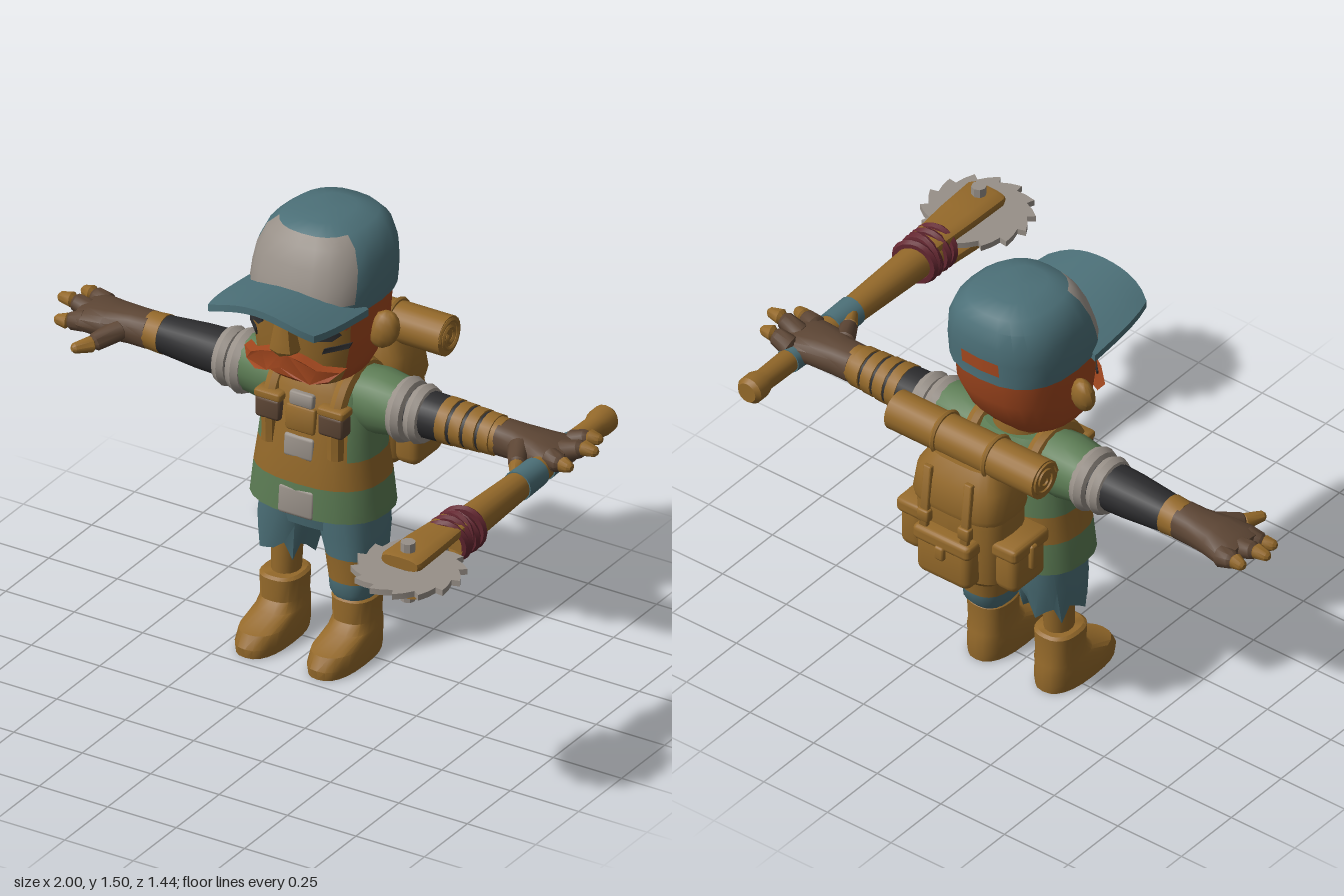
import * as THREE from 'three';
import { toCreasedNormals } from 'three/addons/utils/BufferGeometryUtils.js';
import { RoundedBoxGeometry } from 'three/addons/geometries/RoundedBoxGeometry.js';

const mat = (name, color) => Object.assign(new THREE.MeshStandardMaterial({ color }), { name });
const M = {
  tan: mat('tan leather', 0x94692a), teal: mat('teal cloth', 0x4c7078), grey: mat('light grey', 0x989088),
  green: mat('green vest', 0x5c7c54), orange: mat('ginger hair', 0xa4481f), brown: mat('brown glove', 0x5c4534),
  black: mat('black sleeve', 0x2c2c2e), maroon: mat('maroon cord', 0x642731),
};

function add(parent, name, geo, material, pos = [0, 0, 0], rot = [0, 0, 0]) {
  const m = new THREE.Mesh(toCreasedNormals(geo, 0.65), material);
  m.name = name;
  m.position.set(...pos);
  m.rotation.set(...rot);
  parent.add(m);
  return m;
}

// Stacked superellipse rings [y, rx, rz, cz, cx]; paint(row, degrees) picks a material index.
function loft(rings, { n = 24, p = 0.8, paint = () => 0, jag = 0 } = {}) {
  const pos = [], lists = [];
  const bend = v => Math.sign(v) * Math.abs(v) ** p;
  rings.forEach(([y, rx, rz, cz = 0, cx = 0], r) => {
    for (let i = 0; i < n; i++) {
      const a = i / n * Math.PI * 2;
      pos.push(cx + rx * bend(Math.sin(a)), y + (r === 0 ? jag * Math.sin(i * 2.3) : 0), cz + rz * bend(Math.cos(a)));
    }
  });
  const ends = [rings[0], rings[rings.length - 1]];
  ends.forEach(([y, , , cz = 0, cx = 0]) => pos.push(cx, y, cz));
  const last = rings.length - 1, c0 = rings.length * n;
  for (let i = 0; i < n; i++) {
    const j = (i + 1) % n, deg = Math.abs(((i + 0.5) / n * 360 + 180) % 360 - 180);
    const put = (r, ...idx) => (lists[paint(r, deg)] ??= []).push(...idx);
    put(0, c0, j, i);
    for (let r = 0; r < last; r++) {
      const b = r * n, t = b + n;
      put(r, b + i, b + j, t + j, b + i, t + j, t + i);
    }
    put(last - 1, c0 + 1, last * n + i, last * n + j);
  }
  const g = new THREE.BufferGeometry();
  g.setAttribute('position', new THREE.Float32BufferAttribute(pos, 3));
  g.setIndex(lists.flat());
  let start = 0;
  lists.forEach((l, k) => { g.addGroup(start, l.length, k); start += l.length; });
  return g;
}

// Tapered rod between two points
function rod(parent, name, a, b, r0, r1, material) {
  const A = new THREE.Vector3(...a), d = new THREE.Vector3(...b).sub(A), len = d.length();
  const g = loft([[-r0 * 0.4, r0 * 0.6, r0 * 0.6], [0, r0, r0], [len - r1 * 0.5, r1, r1], [len, r1 * 0.5, r1 * 0.5]], { n: 10, p: 1 });
  const m = add(parent, name, g, material, a);
  m.quaternion.setFromUnitVectors(new THREE.Vector3(0, 1, 0), d.normalize());
}

const box = (w, h, d, r = 0.012) => new RoundedBoxGeometry(w, h, d, 2, r);
const faceZ = x => -0.27 + 0.205 * Math.max(0, 1 - (Math.abs(x) / 0.205) ** 2.5) ** 0.4;

// Flat outline wrapped on to the face
function facePart(parent, name, pts, s, depth, material) {
  const shape = new THREE.Shape(pts.map(([x, y]) => new THREE.Vector2(x * s, y)));
  const g = new THREE.ExtrudeGeometry(shape, { depth, bevelEnabled: false });
  const q = g.attributes.position;
  for (let i = 0; i < q.count; i++) q.setZ(i, q.getZ(i) + faceZ(q.getX(i)));
  add(parent, name, g, material);
}

function buildHead(g) {
  add(g, 'neck', loft([[0.9, 0.1, 0.1, -0.29], [1.03, 0.085, 0.09, -0.29]], { p: 1 }), M.tan);
  add(g, 'head', loft([[0.985, 0.13, 0.13, -0.24], [1.01, 0.165, 0.155, -0.235], [1.05, 0.182, 0.175, -0.25],
    [1.15, 0.2, 0.205, -0.27], [1.28, 0.205, 0.215, -0.275]],
  { paint: (r, d) => d > 60 || (r < 2 && d < 45) ? 1 : 0 }), [M.tan, M.orange]);
  add(g, 'nose', loft([[1.1, 0.03, 0.03, -0.06], [1.125, 0.05, 0.05, -0.063], [1.155, 0.044, 0.044, -0.06],
    [1.25, 0.026, 0.026, -0.055]], { n: 8 }), M.tan);
  for (const s of [1, -1]) {
    facePart(g, 'moustache', [[0, 1.115], [0.03, 1.118], [0.07, 1.108], [0.12, 1.08], [0.175, 1.065], [0.15, 1.04],
      [0.1, 1.03], [0.05, 1.045], [0, 1.07]], s, 0.04, M.orange);
    facePart(g, 'eyebrow', [[0.035, 1.215], [0.04, 1.24], [0.11, 1.242], [0.175, 1.225], [0.18, 1.205], [0.11, 1.22]], s, 0.022, M.orange);
    facePart(g, 'eye', [[0.09, 1.185], [0.11, 1.168], [0.145, 1.168], [0.165, 1.185], [0.15, 1.208], [0.105, 1.208]], s, 0.009, M.black);
    facePart(g, 'cheekStripe', [[0.12, 1.125], [0.18, 1.135], [0.185, 1.152], [0.125, 1.143]], s, 0.009, M.black);
    const ear = new THREE.SphereGeometry(1, 12, 8).scale(0.05, 0.064, 0.034);
    add(g, 'ear', ear, M.tan, [s * 0.225, 1.155, -0.275], [-0.15, s * 0.3, -s * 0.25]);
  }
  // Cap with pale front panel, rear opening and arched brim
  const cap = [[1.25, 0.211, 0.224, -0.283], [1.285, 0.215, 0.222, -0.285], [1.335, 0.214, 0.217, -0.295],
    [1.39, 0.207, 0.206, -0.305], [1.45, 0.18, 0.186, -0.315], [1.482, 0.14, 0.16, -0.315], [1.5, 0.075, 0.1, -0.31]];
  add(g, 'cap', loft(cap, { paint: (r, d) => d < 60 && r > 0 && r < 5 ? 1 : d > 164 && r === 1 ? 2 : 0 }), [M.teal, M.grey, M.orange]);
  const brim = new THREE.BoxGeometry(0.43, 0.024, 0.32, 12, 1, 6), q = brim.attributes.position;
  for (let i = 0; i < q.count; i++) {
    const u = q.getX(i) / 0.215, t = q.getZ(i) / 0.32 + 0.5;
    q.setXYZ(i, q.getX(i) * (1 - 0.1 * t ** 4), q.getY(i) + 1.3 + 0.03 * t - 0.055 * u * u, q.getZ(i) - 0.04 - 0.035 * u ** 4 * t);
  }
  add(g, 'capBrim', brim, M.teal);
}

function buildTorso(g) {
  add(g, 'vest', loft([[0.505, 0.235, 0.168, -0.28], [0.615, 0.222, 0.162, -0.28], [0.71, 0.208, 0.152, -0.28],
    [0.8, 0.2, 0.142, -0.285], [0.92, 0.178, 0.125, -0.288], [0.97, 0.12, 0.1, -0.29]],
  { paint: (r, d) => r === 1 || (r > 1 && d < 45) ? 1 : 0 }), [M.green, M.tan]);
  [[0.55, 0.1, 0.13, M.grey], [0.735, 0.08, 0.11, M.grey], [0.83, 0.09, 0.11, M.tan], [0.895, 0.05, 0.09, M.grey]]
    .forEach(([y, h, w, m]) => add(g, 'chestStrap', box(w, h, 0.03), m, [0, y, -0.128 - (y - 0.55) * 0.09], [-0.08, 0, 0]));
  for (const s of [1, -1]) {
    add(g, 'chestPouch', box(0.09, 0.075, 0.06), M.brown, [s * 0.115, 0.84, -0.16]);
    add(g, 'pouchFlap', box(0.1, 0.03, 0.066), M.tan, [s * 0.115, 0.885, -0.162]);
    const path = new THREE.CatmullRomCurve3([[0.12, 0.72, -0.16], [0.12, 0.88, -0.17], [0.12, 0.965, -0.24], [0.12, 0.965, -0.35], [0.12, 0.88, -0.43]]
      .map(([x, y, z]) => new THREE.Vector3(x * s, y, z)));
    add(g, 'shoulderStrap', new THREE.TubeGeometry(path, 20, 0.028, 8), M.tan);
  }
}

function buildArm(g, s) {
  const left = s > 0, Y = 0.882, Z = -0.305, rot = [0, 0, -s * Math.PI / 2];
  const along = (name, rings, m, opt) => add(g, name, loft(rings, { n: 16, p: 1, ...opt }), m, [0, Y, Z], rot);
  const ring = (name, x, R, r, m, tilt = 0) =>
    add(g, name, new THREE.TorusGeometry(R, r, 8, 20), m, [s * x, Y - 0.005, Z], [0, Math.PI / 2 + tilt, 0]);
  along('shoulder', [[0.1, 0.1, 0.1], [0.2, 0.108, 0.105], [0.28, 0.095, 0.095]], M.green);
  ring('sleeveRing', 0.293, 0.075, 0.033, M.grey);
  ring('sleeveRing', 0.35, 0.068, 0.03, M.grey);
  along('sleeve', [[0.26, 0.08, 0.085], [0.45, 0.073, 0.077], [0.61, 0.06, 0.062]], M.black);
  if (left) [0.455, 0.505, 0.555, 0.605].forEach((x, i) => along('armBand',
    [[x - 0.019, 0.076 - i * 0.003, 0.08 - i * 0.003], [x + 0.019, 0.075 - i * 0.003, 0.079 - i * 0.003]], M.tan).rotateX(0));
  along('wristCuff', [[0.59, 0.065, 0.065], [0.65, 0.06, 0.062]], M.tan);
  // Glove with bare fingertips
  const lift = left ? 0.025 : 0;
  along('glove', [[0.64, 0.058, 0.062], [0.7, 0.055, 0.066, 0], [0.78, 0.05, 0.085, 0.005], [0.85, 0.042, 0.1, 0], [0.885, 0.028, 0.09, 0]], M.brown, { p: 0.85 });
  const fingers = [[0.85, -0.07, 0.95, -0.085, 0.015], [0.86, -0.003, 0.985, -0.003, 0.02], [0.85, 0.06, 0.945, 0.085, -0.01], [0.73, 0.05, 0.81, 0.2, -0.025]];
  for (const [x0, z0, x1, z1, dy] of fingers) {
    const mid = [s * (x0 * 0.4 + x1 * 0.6), Y + lift + dy, Z + z0 * 0.4 + z1 * 0.6];
    rod(g, 'fingerSleeve', [s * x0, Y + lift * 0.5, Z + z0], mid, 0.036, 0.029, M.brown);
    rod(g, 'fingertip', mid, [s * x1, Y + lift + dy * 0.9, Z + z1], 0.026, 0.017, M.tan);
  }
}

function buildLegs(g) {
  add(g, 'hips', loft([[0.41, 0.03, 0.07, -0.29], [0.44, 0.18, 0.12, -0.29], [0.55, 0.2, 0.14, -0.285]]), M.teal);
  add(g, 'raggedTrouserLeg', loft([[0.325, 0.092, 0.1, -0.28, -0.12], [0.42, 0.1, 0.122, -0.288, -0.112], [0.52, 0.1, 0.13, -0.29, -0.1]],
    { n: 20, jag: 0.035 }), M.teal);
  add(g, 'bareShin', loft([[0.16, 0.045, 0.05, -0.27, -0.13], [0.38, 0.05, 0.06, -0.28, -0.13]], { p: 1, n: 14 }), M.tan);
  add(g, 'longTrouserLeg', loft([[0.2, 0.06, 0.075, -0.27, 0.13], [0.23, 0.078, 0.095, -0.275, 0.13], [0.27, 0.08, 0.1, -0.278, 0.128],
    [0.355, 0.088, 0.108, -0.282, 0.122], [0.43, 0.098, 0.122, -0.288, 0.112], [0.52, 0.1, 0.13, -0.29, 0.1]],
  { n: 20, paint: r => r === 2 ? 1 : 0 }), [M.teal, M.tan]);
  for (const s of [1, -1]) add(g, 'boot', loft([[0, 0.075, 0.162, -0.195], [0.03, 0.08, 0.165, -0.195], [0.07, 0.079, 0.152, -0.207],
    [0.1, 0.073, 0.1, -0.255], [0.13, 0.068, 0.083, -0.267], [0.205, 0.072, 0.084, -0.268], [0.213, 0.062, 0.074, -0.268]]), M.tan, [s * 0.132, 0, 0]);
}

function buildPack(g) {
  add(g, 'packBody', loft([[0.55, 0.13, 0.085, -0.54], [0.58, 0.16, 0.105, -0.545], [0.8, 0.168, 0.112, -0.55], [0.94, 0.15, 0.1, -0.545],
    [0.98, 0.12, 0.08, -0.54]], { p: 0.6 }), M.tan);
  add(g, 'packFlap', loft([[0.82, 0.172, 0.118, -0.552], [0.84, 0.176, 0.123, -0.553], [0.93, 0.165, 0.115, -0.548], [0.99, 0.13, 0.085, -0.54]],
    { p: 0.6 }), M.tan);
  const pocket = (w, d, x, z) => {
    add(g, 'packPocket', box(w, 0.165, d, 0.03), M.tan, [x, 0.655, z]);
    add(g, 'pocketFlap', box(w + 0.014, 0.055, d + 0.014, 0.018), M.tan, [x, 0.725, z]);
  };
  pocket(0.21, 0.09, 0, -0.655);
  add(g, 'pocketBuckle', box(0.035, 0.05, 0.03, 0.008), M.tan, [0, 0.69, -0.7]);
  for (const s of [1, -1]) {
    pocket(0.09, 0.165, s * 0.185, -0.54);
    add(g, 'sideBuckle', box(0.03, 0.09, 0.03, 0.008), M.tan, [s * 0.232, 0.69, -0.54]);
    add(g, 'packStrap', box(0.032, 0.24, 0.02, 0.006), M.tan, [s * 0.08, 0.85, -0.672], [0.1, 0, 0]);
    add(g, 'strapBuckle', box(0.046, 0.045, 0.03, 0.008), M.tan, [s * 0.08, 0.79, -0.68]);
    add(g, 'rollStrap', new THREE.TorusGeometry(0.068, 0.009, 6, 20), M.tan, [s * 0.1, 1.02, -0.55], [0, Math.PI / 2, 0]);
    // Coiled ends of the bedroll
    const coil = Array.from({ length: 20 }, (_, i) => new THREE.Vector3(s * 0.29, 1.02 + Math.sin(i * 0.7) * (0.06 - i * 0.0025), -0.55 + Math.cos(i * 0.7) * (0.06 - i * 0.0025)));
    add(g, 'bedrollCoil', new THREE.TubeGeometry(new THREE.CatmullRomCurve3(coil), 60, 0.007, 5), M.tan);
  }
  add(g, 'bedroll', new THREE.CylinderGeometry(0.066, 0.066, 0.58, 20), M.tan, [0, 1.02, -0.55], [0, 0, Math.PI / 2]);
}

function buildSawClub(g) {
  const q = Math.PI / 2;
  const shaft = (name, rings, m, opt) => add(g, name, loft(rings, { n: 16, p: 1, ...opt }), m, [0, 0, 0], [q, 0, 0]);
  shaft('clubShaft', [[-0.615, 0.034, 0.034], [-0.6, 0.046, 0.046], [-0.56, 0.046, 0.046], [-0.53, 0.036, 0.036], [-0.2, 0.042, 0.042],
    [0.2, 0.056, 0.056], [0.33, 0.064, 0.066]], M.tan);
  for (const s of [1, -1]) shaft('clubProng', [[0.27, 0.055, 0.022, s * 0.042], [0.45, 0.068, 0.024, s * 0.047], [0.585, 0.073, 0.024, s * 0.049],
    [0.6, 0.066, 0.02, s * 0.049]], M.tan, { p: 0.7 });
  for (const [z, l, r] of [[-0.14, 0.11, 0.05], [-0.265, 0.06, 0.046], [-0.38, 0.055, 0.044]])
    shaft('gripWrap', [[z - l / 2, r - 0.002, r - 0.002], [z + l / 2, r, r]], M.teal);
  for (let i = 0; i < 5; i++) add(g, 'cordWrap', new THREE.TorusGeometry(0.066, 0.015, 6, 18), M.maroon,
    [0, 0, 0.23 + i * 0.025], [0.18 * Math.sin(i * 2.1), 0.2 * Math.cos(i * 1.7), 0]);
  // Toothed blade and its bolt
  const blade = new THREE.Shape(), teeth = 14;
  for (let i = 0; i < teeth; i++) [[0, 0.155], [0.45, 0.168], [0.9, 0.182]].forEach(([f, r], k) => {
    const a = (i + f) / teeth * Math.PI * 2;
    blade[i + k === 0 ? 'moveTo' : 'lineTo'](r * Math.cos(a), r * Math.sin(a));
  });
  add(g, 'sawBlade', new THREE.ExtrudeGeometry(blade, { depth: 0.02, bevelEnabled: false }), M.grey, [0, 0.01, 0.545], [q, 0, 0]);
  add(g, 'bladeBolt', new THREE.CylinderGeometry(0.024, 0.024, 0.205, 8), M.grey, [0, 0, 0.55]);
}

export function createModel() {
  const model = new THREE.Group();
  model.name = 'adventurer';
  const part = (name, build, x = -0.015, y = 0, arg) => {
    const g = new THREE.Group();
    g.name = name;
    g.position.set(x, y, 0);
    build(g, arg);
    model.add(g);
  };
  part('headGroup', buildHead);
  part('torso', buildTorso);
  part('leftArm', buildArm, -0.015, 0, 1);
  part('rightArm', buildArm, -0.015, 0, -1);
  part('legs', buildLegs);
  part('backpack', buildPack);
  part('sawClub', buildSawClub, 0.815, 0.865);
  return model;
}
